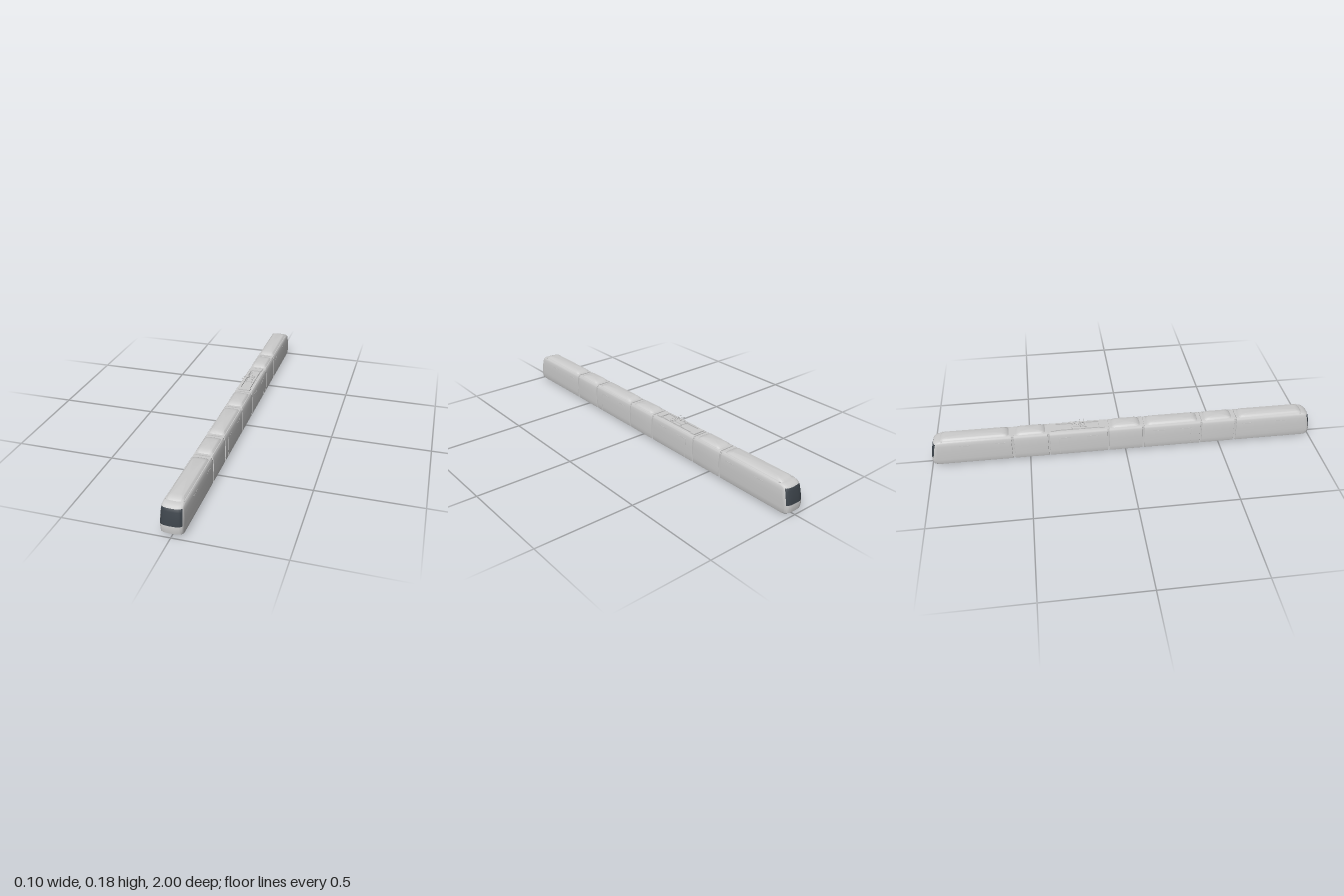
import * as THREE from 'three';
import { toCreasedNormals } from 'three/addons/utils/BufferGeometryUtils.js';

const mat = (name, color) => {
  const m = new THREE.MeshStandardMaterial({ color });
  m.name = name;
  return m;
};

// Plan outline at one height: a superellipse curve at each end, [depth, exponent]
const ARC = 20;
function outline(y, w, zBack, zFront, back, front) {
  const pts = [];
  for (const [z, s, [d, n]] of [[zFront, 1, front], [zBack, -1, back]]) {
    for (let i = 0; i <= ARC; i++) {
      const a = (i / ARC) * Math.PI, c = Math.cos(a), k = Math.sin(a);
      const x = w * s * Math.sign(c) * Math.pow(Math.abs(c), 2 / n);
      pts.push([x, y, z - s * d + s * d * Math.pow(Math.max(k, 0), 2 / n)]);
    }
  }
  return pts;
}

// Stack outlines upward into a closed shell; isGlass picks faces for material 1
function stack(rings, isGlass = () => false) {
  const n = rings[0].length, pos = rings.flat(2), body = [], glass = [];
  for (let r = 0; r < rings.length - 1; r++) {
    for (let i = 0; i < n; i++) {
      const j = (i + 1) % n, a = r * n + i, b = r * n + j;
      (isGlass(r, i) ? glass : body).push(a, a + n, b + n, a, b + n, b);
    }
  }
  [0, rings.length - 1].forEach((r, top) => {
    const mid = rings[r].reduce((s, p) => s + p[2], 0) / n, c = pos.length / 3;
    pos.push(0, rings[r][0][1], mid);
    for (let i = 0; i < n; i++) {
      const a = r * n + i, b = r * n + (i + 1) % n;
      body.push(c, top ? b : a, top ? a : b);
    }
  });
  const g = new THREE.BufferGeometry();
  g.setAttribute('position', new THREE.Float32BufferAttribute(pos, 3));
  g.setIndex([...body, ...glass]);
  g.addGroup(0, body.length, 0);
  if (glass.length) g.addGroup(body.length, glass.length, 1);
  return toCreasedNormals(g, 0.6);
}

// Body cross-section: height, half width, set-back of the cab nose
const BODY = [
  [0.013, 0.049, 0.012], [0.020, 0.051, 0.003], [0.040, 0.052, 0],
  [0.058, 0.052, 0.001], [0.090, 0.052, 0.007], [0.120, 0.0505, 0.014],
  [0.134, 0.0485, 0.019], [0.141, 0.0465, 0.027], [0.146, 0.043, 0.040], [0.148, 0.037, 0.052],
];
const SQUARE = [0.004, 8], NOSE = [0.030, 3];

export function createModel() {
  const model = new THREE.Group();
  model.name = 'tram';
  const paint = mat('bodyGrey', 0xcccccc);
  const glass = mat('darkGlass', 0x3c434a);

  const add = (name, geo, material, x = 0, y = 0, z = 0, parent = model) => {
    const m = new THREE.Mesh(geo, material);
    m.name = name;
    m.position.set(x, y, z);
    parent.add(m);
    return m;
  };
  const box = (name, w, h, d, x, y, z, parent) =>
    add(name, new THREE.BoxGeometry(w, h, d), paint, x, y, z, parent);
  const rod = (name, a, b, r, parent) => {
    const p = new THREE.Vector3(...a), q = new THREE.Vector3(...b), dir = q.clone().sub(p);
    const m = add(name, new THREE.CylinderGeometry(r, r, dir.length(), 8), paint, 0, 0, 0, parent);
    m.position.copy(p).add(q).multiplyScalar(0.5);
    m.quaternion.setFromUnitVectors(new THREE.Vector3(0, 1, 0), dir.normalize());
  };

  // Rounded equipment cover on the roof
  const pod = (z0, z1, parent) => {
    const rings = [[0.145, 0.040, 0], [0.150, 0.038, 0.005], [0.155, 0.034, 0.014],
      [0.158, 0.030, 0.024], [0.160, 0.024, 0.036]]
      .map(([y, w, s]) => outline(y, w, z0 + s, z1 - s, [0.02, 3.5], [0.02, 3.5]));
    add('roofCover', stack(rings), paint, 0, 0, 0, parent);
  };
  // Thin raised strips on both sides
  const sideStrip = (name, h, d, x, y, z, parent) => {
    for (const s of [-1, 1]) box(name, 0.0015, h, d, s * x, y, z, parent);
  };

  // Two end cars with windscreens
  for (const end of [1, -1]) {
    const cab = new THREE.Group();
    cab.name = end > 0 ? 'frontCar' : 'rearCar';
    const rings = BODY.map(([y, w, s]) => outline(y, w, 0.588, 1 - s, SQUARE, NOSE));
    const isGlass = (r, i) => r >= 3 && r <= 5 && i >= 3 && i < ARC - 3;
    add('cabBody', stack(rings, isGlass), [paint, glass], 0, 0, 0, cab);
    pod(0.597, 0.948, cab);
    for (const z of [0.825, 0.645]) sideStrip('doorHeader', 0.003, 0.055, 0.0507, 0.116, z, cab);
    for (const s of [-1, 1]) box('roofCamera', 0.005, 0.003, 0.008, s * 0.041, 0.1475, 0.935, cab);
    cab.rotation.y = end > 0 ? 0 : Math.PI;
    model.add(cab);
  }

  // Five middle sections
  const sections = [[0.402, 0.577], [0.097, 0.394], [-0.086, 0.089], [-0.394, -0.094], [-0.577, -0.402]];
  sections.forEach(([z0, z1], i) => {
    add('middleBody', stack(BODY.map(([y, w]) => outline(y, w, z0, z1, SQUARE, SQUARE))), paint);
    if (i !== 3) pod(z0 + 0.01, z1 - 0.01);
  });
  for (const s of [-1, 1]) {
    for (const z of [0.315, 0.172]) sideStrip('doorHeader', 0.003, 0.06, 0.0507, 0.116, s * z);
    sideStrip('doorSeam', 0.095, 0.002, 0.0517, 0.066, s * 0.345);
  }

  // Bellows between the sections
  for (const z of [0.5825, 0.398, 0.093, -0.090, -0.398, -0.5825]) {
    box('bellows', 0.096, 0.118, 0.014, 0, 0.077, z);
    box('bellowsTop', 0.088, 0.008, 0.014, 0, 0.140, z);
  }

  // Wheels
  const wheel = new THREE.CylinderGeometry(0.012, 0.012, 0.005, 20).rotateZ(Math.PI / 2);
  for (const z of [0.953, 0.874, 0.530, 0.453, 0.039, -0.038, -0.453, -0.530, -0.874, -0.953]) {
    for (const s of [-1, 1]) add('wheel', wheel, paint, s * 0.034, 0.012, z);
  }

  // Roof equipment around the current collector
  const gear = new THREE.Group();
  gear.name = 'currentCollector';
  model.add(gear);
  for (const z of [-0.122, -0.372]) box('roofBox', 0.064, 0.007, 0.028, 0, 0.1505, z, gear);
  for (const s of [-1, 1]) {
    box('roofRail', 0.004, 0.006, 0.27, s * 0.026, 0.151, -0.247, gear);
    box('baseSide', 0.003, 0.003, 0.075, s * 0.015, 0.157, -0.24, gear);
    rod('lowerArm', [s * 0.018, 0.157, -0.205], [s * 0.003, 0.1765, -0.285], 0.0012, gear);
    rod('upperArm', [s * 0.003, 0.1765, -0.285], [s * 0.012, 0.168, -0.215], 0.001, gear);
  }
  for (const z of [-0.205, -0.275]) {
    box('baseCross', 0.055, 0.003, 0.004, 0, 0.155, z, gear);
    for (const s of [-1, 1]) add('insulator', new THREE.CylinderGeometry(0.002, 0.003, 0.008, 8), paint, s * 0.015, 0.152, z, gear);
  }
  rod('topJoint', [-0.005, 0.1765, -0.285], [0.005, 0.1765, -0.285], 0.0015, gear);
  const bow = new THREE.CatmullRomCurve3([[-0.043, 0.161], [-0.037, 0.166], [-0.028, 0.168], [0, 0.168],
    [0.028, 0.168], [0.037, 0.166], [0.043, 0.161]].map(([x, y]) => new THREE.Vector3(x, y, 0)));
  for (const z of [-0.213, -0.235]) add('contactBow', new THREE.TubeGeometry(bow, 32, 0.001, 6), paint, 0, 0, z, gear);
  for (const s of [-1, 1]) rod('bowLink', [s * 0.012, 0.168, -0.213], [s * 0.012, 0.168, -0.235], 0.001, gear);

  return model;
}
